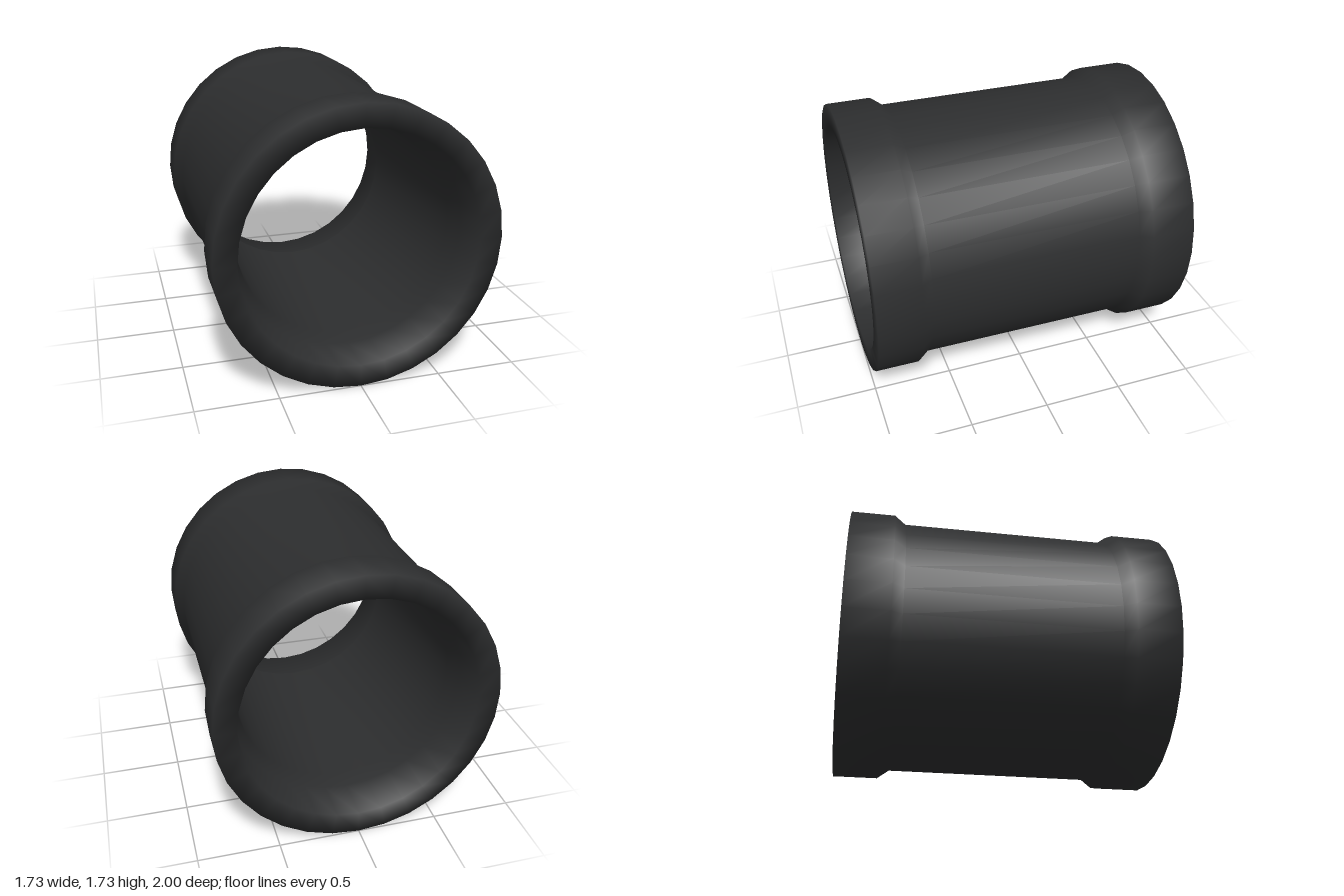
import * as THREE from 'three';
import { mergeVertices } from 'three/addons/utils/BufferGeometryUtils.js';

const SIDES = 32;
const RADIUS = 0.8625;
const WALL = 0.14;
const STEP = 0.052; // how far the collars stand out from the middle

// Half of a wall line: from the middle section out to the collar's end
function wallLine(collarRadius) {
  return [
    [collarRadius - STEP, 0.655],
    [collarRadius, 0.725],
    [collarRadius, 1],
  ];
}

export function createModel() {
  const group = new THREE.Group();
  group.name = 'pipeSleeve';

  // Closed profile: outer wall from back to front, then inner wall from front to back
  const flip = (line) => line.map(([r, z]) => [r, -z]).reverse();
  const outer = wallLine(RADIUS);
  const inner = wallLine(RADIUS - WALL);
  const loop = [...flip(outer), ...outer, ...[...flip(inner), ...inner].reverse()];
  loop.push(loop[0]);

  // Spin the profile, then weld the seams so the shading is smooth all round
  const lathe = new THREE.LatheGeometry(loop.map(([r, z]) => new THREE.Vector2(r, z)), SIDES);
  lathe.deleteAttribute('uv');
  lathe.deleteAttribute('normal');
  const geometry = mergeVertices(lathe, 1e-4);
  geometry.computeVertexNormals();

  // Lay the axis along z and rest the tube on the ground
  geometry.rotateX(Math.PI / 2);
  geometry.translate(0, RADIUS, 0);

  const tube = new THREE.Mesh(geometry, new THREE.MeshStandardMaterial({ color: 0x2d2e2f }));
  tube.name = 'collaredTube';
  group.add(tube);
  return group;
}
